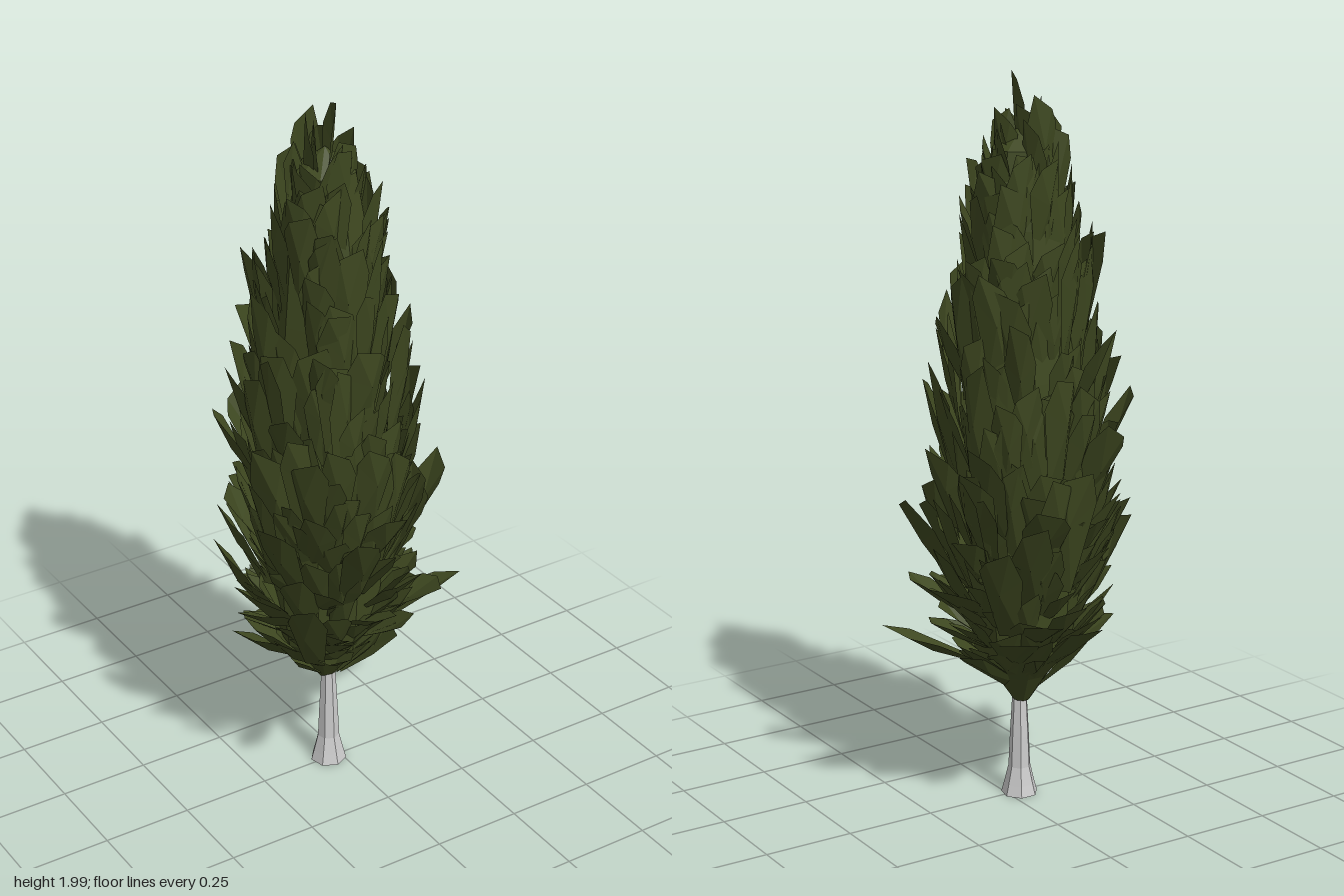
import * as THREE from 'three';

const AXIS_X = -0.035, AXIS_Z = -0.015;

// Small seeded generator, 0..1
function seeded(seed) {
  return () => {
    seed = (seed * 16807) % 2147483647;
    return seed / 2147483647;
  };
}

// Crown radius at height y, interpolated along a profile
const PROFILE = [[0.28, 0.025], [0.36, 0.085], [0.43, 0.15], [0.53, 0.21], [0.7, 0.225], [0.95, 0.225],
  [1.2, 0.21], [1.4, 0.19], [1.6, 0.165], [1.8, 0.115], [1.92, 0.06], [2, 0.02]];
function crownRadius(y) {
  for (let i = 1; i < PROFILE.length; i++) {
    const [y0, r0] = PROFILE[i - 1], [y1, r1] = PROFILE[i];
    if (y <= y1) return r0 + (r1 - r0) * Math.max(0, (y - y0) / (y1 - y0));
  }
  return 0.02;
}

// Point at a given angle, radius and height around the crown's axis
const around = (a, r, y) => new THREE.Vector3(AXIS_X + Math.cos(a) * r, y, AXIS_Z + Math.sin(a) * r);

// Folded, squared-off blade from base to tip, its width lying roughly around the trunk
function addBlade(out, base, tip, width, twist, rand) {
  const dir = tip.clone().sub(base);
  const angle = Math.atan2(tip.z - AXIS_Z, tip.x - AXIS_X) + (rand() - 0.5) * twist;
  const side = new THREE.Vector3(-Math.sin(angle), (rand() - 0.5) * 0.5, Math.cos(angle)).normalize();
  const normal = new THREE.Vector3().crossVectors(dir, side).normalize();
  const at = (t, s, lift) => base.clone().addScaledVector(dir, t)
    .addScaledVector(side, s * width).addScaledVector(normal, lift * width);
  const skew = rand() < 0.5 ? 1 : -1;
  const b0 = at(0, -0.25, 0), b1 = at(0, 0.25, 0);
  const m0 = at(0.6 + rand() * 0.2, -0.5, -0.1), m1 = at(0.6 + rand() * 0.2, 0.5, -0.1);
  const mc = at(0.55, 0.06 * skew, 0.14);
  const t0 = at(skew > 0 ? 1 : 0.9, -0.3, 0), t1 = at(skew > 0 ? 0.9 : 1, 0.3, 0);
  for (const tri of [[b0, b1, mc], [b0, mc, m0], [b1, m1, mc], [m0, mc, t0], [mc, t1, t0], [mc, m1, t1]]) {
    for (const p of tri) out.push(p.x, p.y, p.z);
  }
}

function bladeMesh(name, points, material) {
  const geometry = new THREE.BufferGeometry();
  geometry.setAttribute('position', new THREE.Float32BufferAttribute(points, 3));
  geometry.computeVertexNormals();
  const mesh = new THREE.Mesh(geometry, material);
  mesh.name = name;
  return mesh;
}

export function createModel() {
  const tree = new THREE.Group();
  tree.name = 'columnarTree';
  const rand = seeded(9137);
  const bark = new THREE.MeshStandardMaterial({ color: 0xcccccc, flatShading: true, side: THREE.DoubleSide });
  const leaf = new THREE.MeshStandardMaterial({ color: 0x3e4820, flatShading: true, side: THREE.DoubleSide });

  // Trunk with a flared foot
  const trunkProfile = [[0.051, 0], [0.043, 0.03], [0.031, 0.08], [0.027, 0.17], [0.021, 0.28], [0.016, 0.5]];
  const trunk = new THREE.Mesh(
    new THREE.LatheGeometry(trunkProfile.map(([r, y]) => new THREE.Vector2(r, y)), 7), bark);
  trunk.name = 'trunk';
  trunk.position.set(AXIS_X, 0, -0.005);
  tree.add(trunk);

  // Dense inner crown that closes the gaps between blades
  const coreProfile = PROFILE.slice(0, -2).map(([y, r], i) => new THREE.Vector2(r * (i < 3 ? 0.9 : 0.72), y));
  coreProfile.push(new THREE.Vector2(0, 1.86));
  const core = new THREE.Mesh(new THREE.LatheGeometry(coreProfile, 9), leaf);
  core.name = 'innerCrown';
  core.position.set(AXIS_X, 0, AXIS_Z);
  tree.add(core);

  // Ragged rings of blades, spreading low down and upright higher up
  const blades = [];
  const ROWS = 20;
  for (let row = 0; row < ROWS; row++) {
    const t = row / (ROWS - 1);
    const rowY = 0.46 + t * 1.42;
    const count = Math.round(4 + 62 * crownRadius(rowY));
    for (let i = 0; i < count; i++) {
      const a = (i + row * 0.5 + (rand() - 0.5) * 1.2) / count * Math.PI * 2;
      const tipY = rowY + (rand() - 0.5) * 0.16;
      const tipR = crownRadius(tipY) * (0.82 + rand() * 0.34) + (1 - t) * rand() * 0.05;
      const upright = Math.min(1, t * 2.2);
      const drop = (0.12 + 0.17 * upright) * (0.8 + rand() * 0.5);
      const baseY = Math.max(0.29, tipY - drop);
      const baseR = Math.min(crownRadius(baseY) * 0.8, tipR * (0.2 + (0.35 + rand() * 0.3) * upright));
      addBlade(blades, around(a, baseR, baseY), around(a, tipR, tipY), 0.08 + rand() * 0.05, 1.2, rand);
    }
  }
  tree.add(bladeMesh('foliageBlades', blades, leaf));

  // Long shoots standing out of the crown: tip x, y, z
  const shootTips = [
    [0.34, 0.53, 0.05], [0.32, 0.9, 0.03], [0.27, 0.66, -0.05], [0.27, 0.57, -0.02],
    [-0.35, 0.78, -0.06], [-0.325, 0.92, 0.16], [-0.32, 1.15, -0.13], [-0.3, 0.49, -0.03],
    [-0.32, 0.6, 0.04], [-0.27, 0.7, 0.24], [-0.12, 0.9, 0.33], [-0.04, 0.63, 0.3],
    [0.06, 0.57, 0.26], [0.2, 0.62, 0.21], [0.08, 0.6, -0.33], [0.12, 0.87, -0.32],
    [-0.15, 1.1, -0.3], [-0.13, 1.35, -0.29], [0.2, 0.8, -0.26], [0.2, 1.05, -0.17],
    [-0.25, 0.85, -0.18], [-0.17, 0.52, 0.27], [0.17, 1.5, -0.06], [0.14, 1.68, 0.02],
  ];
  const shoots = [];
  for (const [x, y, z] of shootTips) {
    const low = y < 0.7;
    const k = low ? 0.28 : 0.5;
    const base = new THREE.Vector3(AXIS_X + (x - AXIS_X) * k, y - (low ? 0.13 : 0.28), AXIS_Z + (z - AXIS_Z) * k);
    addBlade(shoots, base, new THREE.Vector3(x, y, z), 0.11, 0.9, rand);
  }
  tree.add(bladeMesh('longShoots', shoots, leaf));

  // Upright blades at the crown's top
  const crest = [];
  for (const [x, y, z] of [[-0.03, 2, 0.02], [-0.05, 1.94, -0.09], [-0.07, 1.93, -0.01], [-0.02, 1.92, -0.04],
    [0.06, 1.86, -0.03], [-0.14, 1.88, -0.02], [0.05, 1.83, 0.05], [-0.06, 1.89, 0.08], [0, 1.88, -0.11],
    [-0.11, 1.86, -0.08], [-0.12, 1.8, 0.06], [0.02, 1.87, 0.01]]) {
    const base = new THREE.Vector3(x * 0.5 - 0.03, y - 0.3, z * 0.5 - 0.02);
    addBlade(crest, base, new THREE.Vector3(x, y, z), 0.09, 2.2, rand);
  }
  tree.add(bladeMesh('crestBlades', crest, leaf));

  return tree;
}
